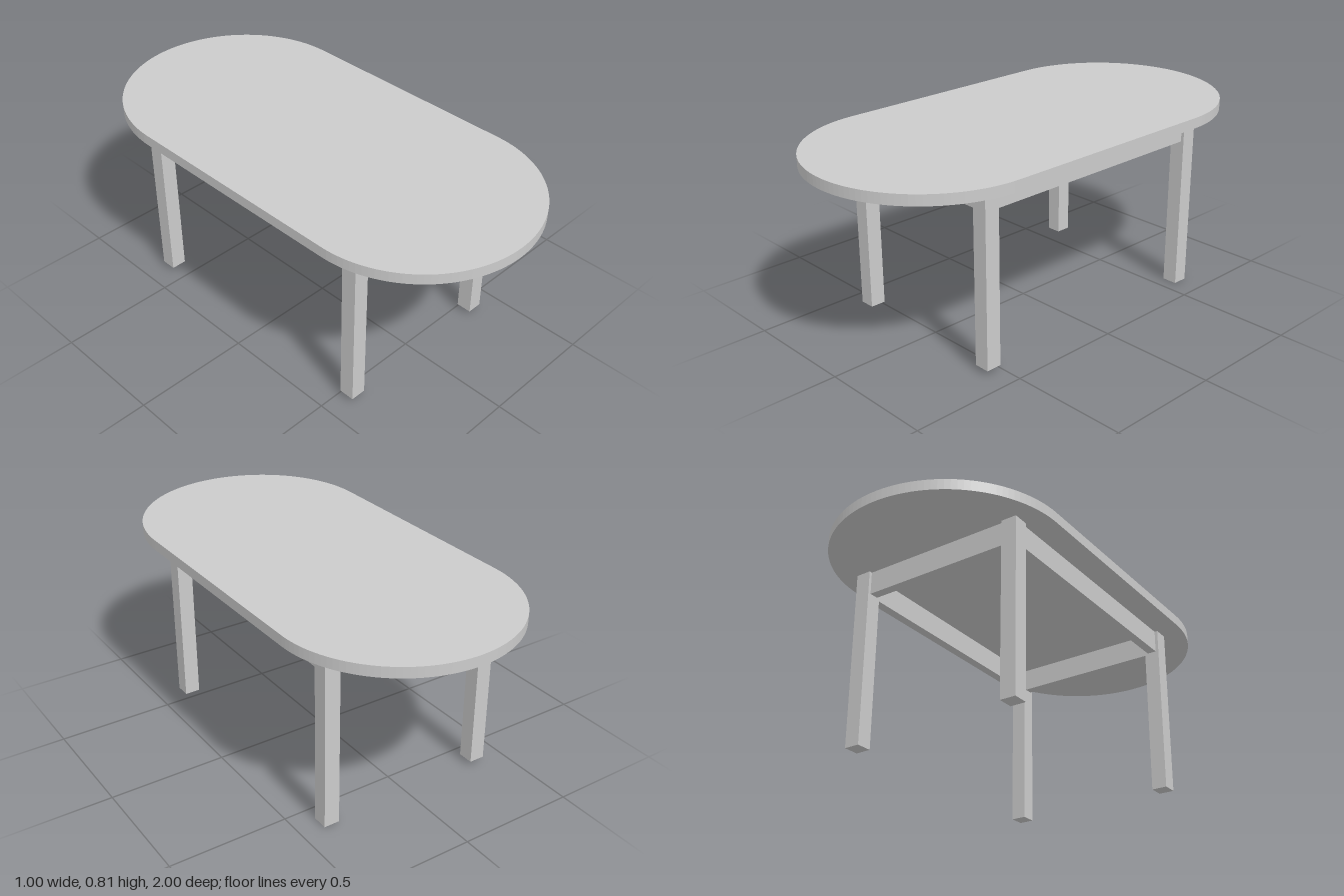
import * as THREE from 'three';

const TOP = 0.814, UNDER = 0.769;   // tabletop faces
const LEG = 0.067, LEG_X = 0.366;   // leg thickness and centre offset
const FRONT_Z = 0.541, BACK_Z = -0.595;
const APRON_BOTTOM = 0.669, APRON = 0.04;

export function createModel() {
  const table = new THREE.Group();
  table.name = 'ovalTable';
  const material = new THREE.MeshStandardMaterial({ color: 0xcccccc, flatShading: true });

  function add(name, geometry, x, y, z) {
    const mesh = new THREE.Mesh(geometry, material);
    mesh.name = name;
    mesh.position.set(x, y, z);
    table.add(mesh);
    return mesh;
  }

  // Upright box between two heights
  function post(name, width, depth, bottom, x, z) {
    const height = UNDER - bottom;
    add(name, new THREE.BoxGeometry(width, height, depth), x, bottom + height / 2, z);
  }

  // Tabletop: straight sides with a half circle at each end
  const outline = new THREE.Shape();
  outline.absarc(0, 0.5, 0.5, 0, Math.PI);
  outline.absarc(0, -0.5, 0.5, Math.PI, Math.PI * 2);
  outline.closePath();
  const slab = new THREE.ExtrudeGeometry(outline, {
    depth: TOP - UNDER, bevelEnabled: false, curveSegments: 32,
  });
  slab.rotateX(-Math.PI / 2);
  add('tabletop', slab, 0, UNDER, 0);

  // Legs: the back left one is slightly longer
  for (const [side, sx] of [['Left', 1], ['Right', -1]]) {
    post('front' + side + 'Leg', LEG, LEG, 0.019, sx * LEG_X, FRONT_Z);
    post('back' + side + 'Leg', LEG, LEG, sx > 0 ? 0 : 0.019, sx * LEG_X, BACK_Z);
  }

  // Aprons run between the legs, centred on their thickness
  const midZ = (FRONT_Z + BACK_Z) / 2;
  const sideLength = FRONT_Z - BACK_Z - LEG;
  const endLength = 2 * LEG_X - LEG;
  post('leftApron', APRON, sideLength, APRON_BOTTOM, LEG_X, midZ);
  post('rightApron', APRON, sideLength, APRON_BOTTOM, -LEG_X, midZ);
  post('frontApron', endLength, APRON, APRON_BOTTOM, 0, FRONT_Z);
  post('backApron', endLength, APRON, APRON_BOTTOM, 0, BACK_Z);

  return table;
}
